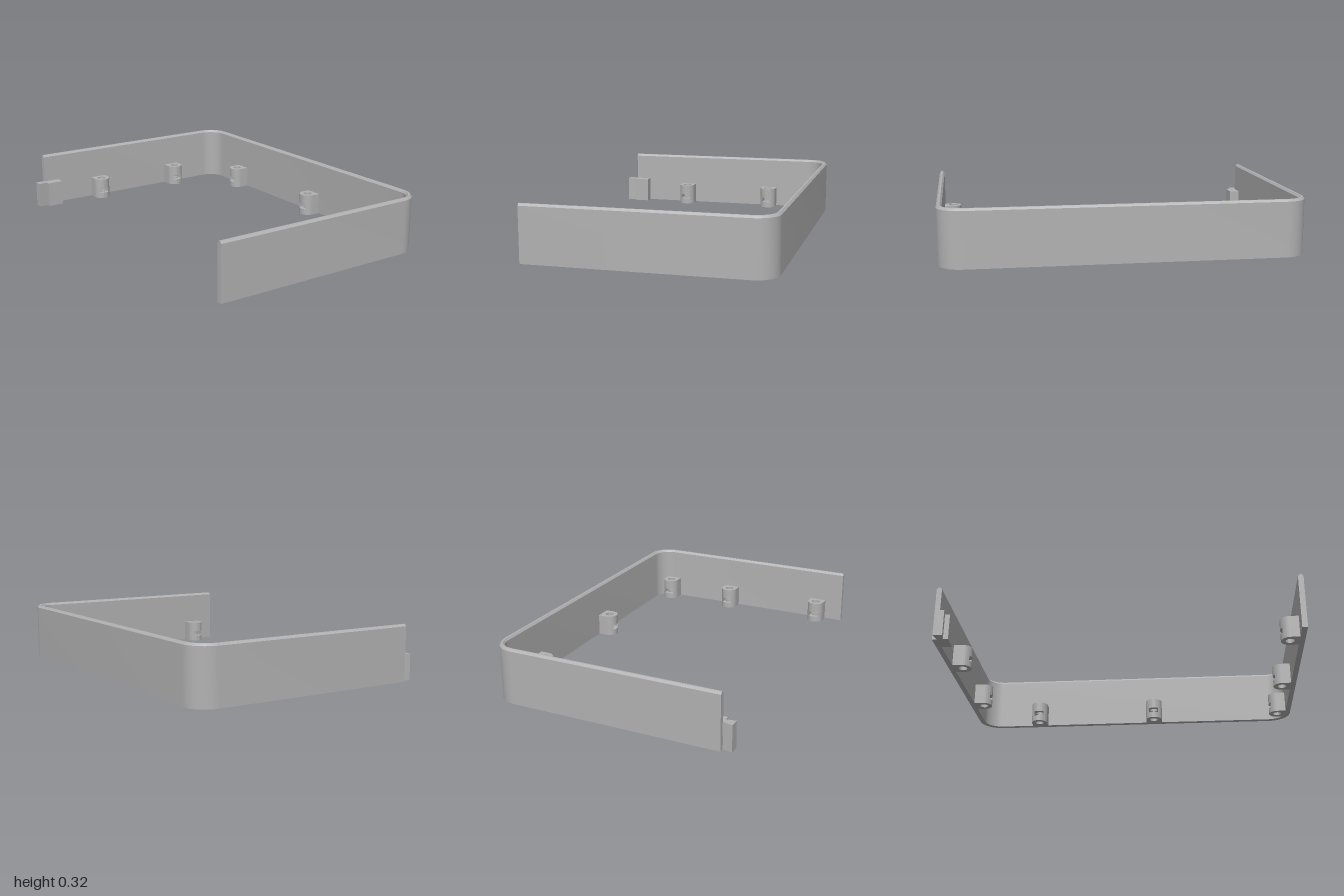
import * as THREE from 'three';
import { toCreasedNormals } from 'three/addons/utils/BufferGeometryUtils.js';

const CREASE = 0.5;

// Upright extrusion: shape y becomes -z, depth becomes +y
function slab(shape, y0, y1) {
  const g = new THREE.ExtrudeGeometry(shape, { depth: y1 - y0, bevelEnabled: false, curveSegments: 20 });
  g.rotateX(-Math.PI / 2).translate(0, y0, 0);
  return toCreasedNormals(g, CREASE);
}

// Wall cross-section swept along a U-shaped path with rounded corners
function wallGeometry() {
  const R = 0.13, zc = 0.87;
  const profile = [[0, 0], [0, 0.308], [0.01, 0.32], [0.02, 0.32], [0.03, 0.308], [0.03, 0]];
  const stations = [[-0.65, -zc, -Math.PI / 2]];
  for (const [z, start] of [[-zc, -Math.PI / 2], [zc, 0]]) {
    for (let i = 0; i <= 16; i++) stations.push([0.57, z, start + (i / 16) * Math.PI / 2]);
  }
  stations.push([-0.65, zc, Math.PI / 2]);

  const n = profile.length, pos = [], idx = [];
  for (const [x, z, a] of stations) {
    for (const [d, y] of profile) pos.push(x + Math.cos(a) * (R - d), y, z + Math.sin(a) * (R - d));
  }
  for (let s = 0; s < stations.length - 1; s++) {
    for (let p = 0; p < n; p++) {
      const q = (p + 1) % n, a = s * n + p, b = a + n, c = s * n + q, d = c + n;
      idx.push(a, d, b, a, c, d);
    }
  }
  // End caps
  const e = (stations.length - 1) * n;
  for (let k = 1; k < n - 1; k++) idx.push(0, k + 1, k, e, e + k, e + k + 1);

  const g = new THREE.BufferGeometry();
  g.setAttribute('position', new THREE.Float32BufferAttribute(pos, 3));
  g.setIndex(idx);
  return toCreasedNormals(g, CREASE);
}

// Outline of a screw boss, rounded at the tip and flat at the wall
function bossShape() {
  const s = new THREE.Shape();
  s.moveTo(-0.05, -0.06);
  s.lineTo(0.05, -0.06);
  s.lineTo(0.05, 0);
  s.absarc(0, 0, 0.05, 0, Math.PI, false);
  s.closePath();
  s.holes.push(new THREE.Path().absarc(0, 0, 0.025, 0, Math.PI * 2, true));
  return s;
}

// Same outline with a nut slot open at the tip
function slotShape() {
  const w = 0.03, a = Math.acos(w / 0.05);
  const s = new THREE.Shape();
  s.moveTo(-0.05, -0.06);
  s.lineTo(0.05, -0.06);
  s.lineTo(0.05, 0);
  s.absarc(0, 0, 0.05, 0, a, false);
  s.lineTo(w, -0.03);
  s.lineTo(-w, -0.03);
  s.lineTo(-w, 0.04);
  s.absarc(0, 0, 0.05, Math.PI - a, Math.PI, false);
  s.closePath();
  return s;
}

export function createModel() {
  const model = new THREE.Group();
  model.name = 'frameSection';
  const grey = new THREE.MeshStandardMaterial({ color: 0xb2b2b2 });
  grey.name = 'grey';

  const add = (parent, name, geometry) => {
    const mesh = new THREE.Mesh(geometry, grey);
    mesh.name = name;
    parent.add(mesh);
    return mesh;
  };

  add(model, 'wall', wallGeometry());

  // Screw bosses: x, z, turn
  const base = slab(bossShape(), 0, 0.035);
  const slot = slab(slotShape(), 0.035, 0.065);
  const top = slab(bossShape(), 0.065, 0.125);
  const places = [
    [-0.27, -0.92, Math.PI], [0.30, -0.92, Math.PI],
    [0.62, -0.62, Math.PI / 2], [0.62, 0.13, Math.PI / 2],
    [-0.49, 0.92, 0], [0.13, 0.92, 0], [0.575, 0.92, 0],
  ];
  for (const [x, z, turn] of places) {
    const boss = new THREE.Group();
    boss.name = 'screwBoss';
    add(boss, 'bossBase', base);
    add(boss, 'nutSlot', slot);
    add(boss, 'bossTop', top);
    boss.position.set(x, 0, z);
    boss.rotation.y = turn;
    model.add(boss);
  }

  // Joint block with a dovetail tongue at the back end
  const block = add(model, 'jointBlock', new THREE.BoxGeometry(0.095, 0.15, 0.065));
  block.position.set(-0.6045, 0.075, -0.9445);
  const tail = new THREE.Shape([[-0.705, 0.983], [-0.705, 0.93], [-0.65, 0.94], [-0.65, 0.973]]
    .map(([x, y]) => new THREE.Vector2(x, y)));
  add(model, 'dovetailTongue', slab(tail, 0, 0.15));

  return model;
}
